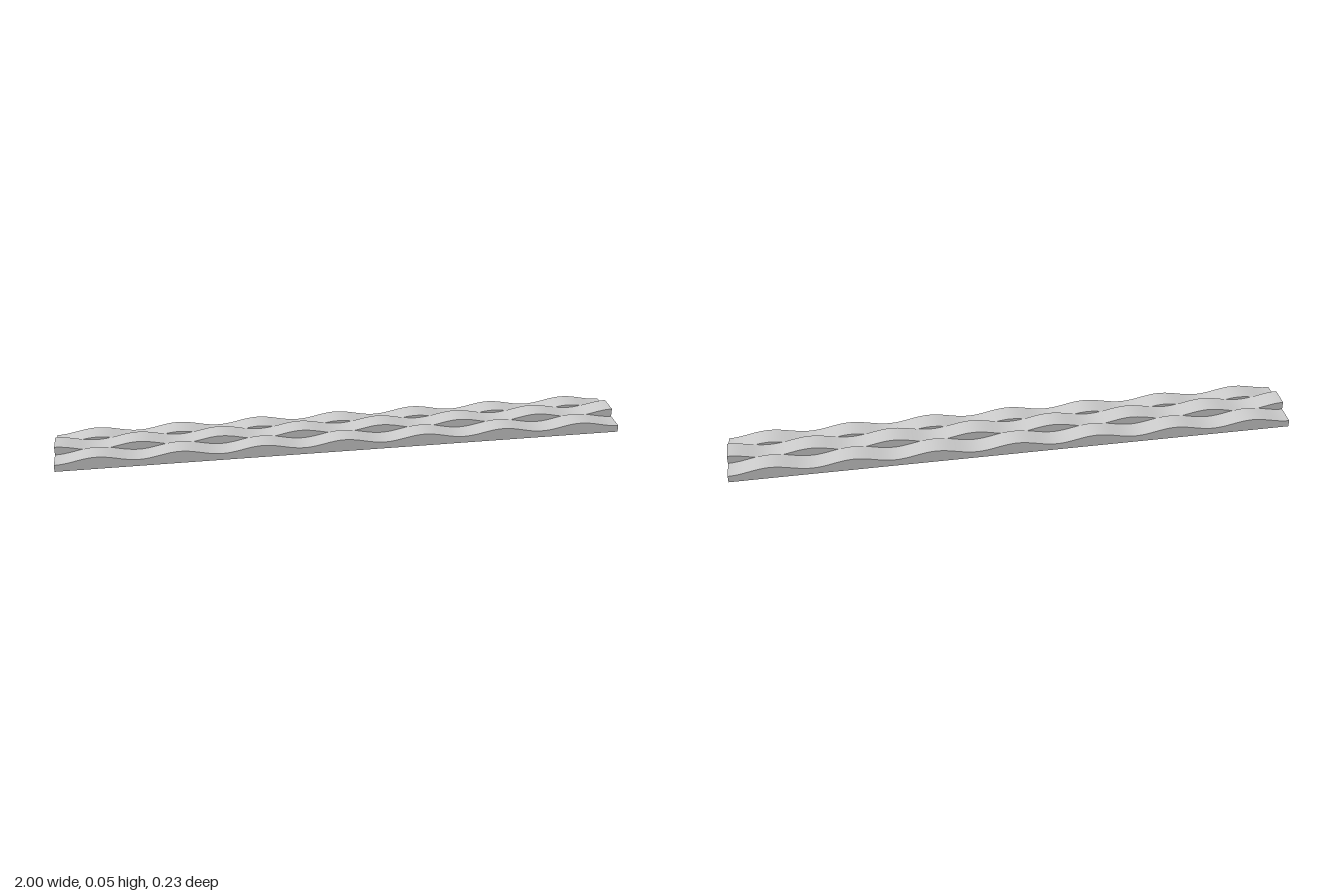
import * as THREE from 'three';

const PERIODS = 7, SEGMENTS = PERIODS * 24;
const STRIP = 0.075; // width of one strip

// Heights of the opposed waves along x
const wave = (x) => 0.01 * Math.cos(PERIODS * Math.PI * (x + 1));
const centreTop = (x) => 0.045 + wave(x);
const sideTop = (x) => 0.035 - wave(x);
const highest = (x) => Math.max(centreTop(x), sideTop(x));

export function createModel() {
  const group = new THREE.Group();
  const material = new THREE.MeshStandardMaterial({ color: 0xcccccc, side: THREE.DoubleSide });

  const add = (name, geometry, z) => {
    geometry.computeVertexNormals();
    const mesh = new THREE.Mesh(geometry, material);
    mesh.name = name;
    mesh.position.z = z;
    group.add(mesh);
  };

  // Wavy top sheet of a strip
  const addSheet = (name, z, top) => {
    const g = new THREE.PlaneGeometry(2, STRIP, SEGMENTS, 1).rotateX(-Math.PI / 2);
    const p = g.attributes.position;
    for (let i = 0; i < p.count; i++) p.setY(i, top(p.getX(i)));
    add(name, g, z);
  };

  // Upright web from the ground to the wavy edge
  const addWall = (name, z, top) => {
    const g = new THREE.PlaneGeometry(2, 1, SEGMENTS, 1);
    if (z < 0) g.rotateY(Math.PI);
    const p = g.attributes.position;
    for (let i = 0; i < p.count; i++) p.setY(i, p.getY(i) > 0 ? top(p.getX(i)) : 0);
    add(name, g, z);
  };

  addSheet('centreStrip', 0, centreTop);
  for (const [label, s] of [['front', 1], ['back', -1]]) {
    addSheet(label + 'Strip', s * STRIP, sideTop);
    addWall(label + 'OuterWall', s * STRIP * 1.5, sideTop);
    addWall(label + 'InnerWall', s * STRIP * 0.5, highest);
  }
  return group;
}
